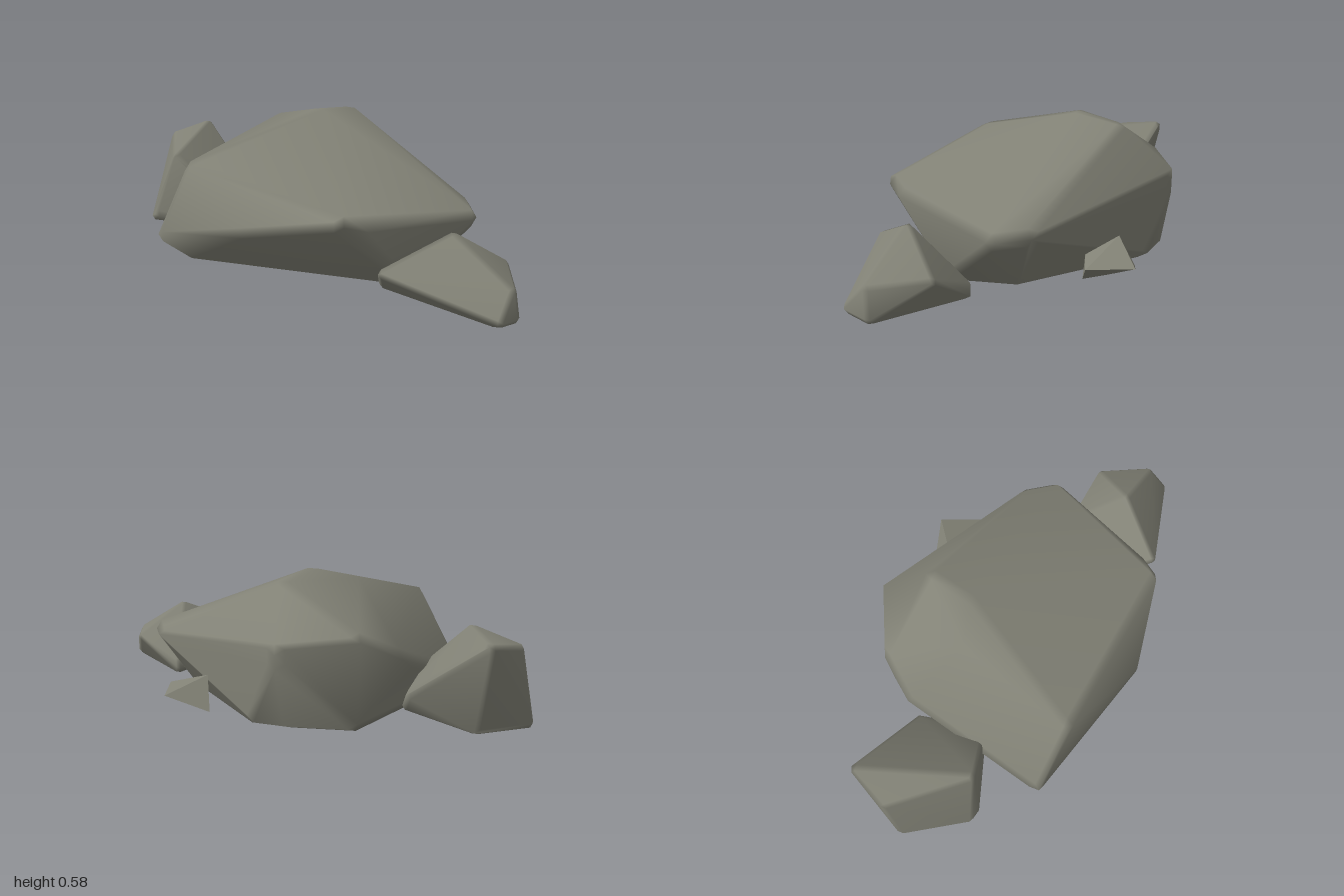
import * as THREE from 'three';
import { mergeVertices } from 'three/addons/utils/BufferGeometryUtils.js';
import { ConvexGeometry } from 'three/addons/geometries/ConvexGeometry.js';

const stone = new THREE.MeshStandardMaterial({ color: 0x828276, side: THREE.DoubleSide });
stone.name = 'greyStone';

// Corner offsets of a small icosahedron, used to round off every corner
const PHI = (1 + Math.sqrt(5)) / 2;
const BALL = [];
for (const a of [-1, 1]) for (const b of [-PHI, PHI]) {
  for (const c of [[0, a, b], [a, b, 0], [b, 0, a]]) BALL.push(new THREE.Vector3(...c).normalize());
}

// Drops the flat underside so the shell is open at the ground
function openBottom(geometry) {
  const p = geometry.attributes.position;
  const kept = [];
  for (let i = 0; i < p.count; i += 3) {
    if (Math.max(p.getY(i), p.getY(i + 1), p.getY(i + 2)) < 0.004) continue;
    for (let j = i; j < i + 3; j++) kept.push(p.getX(j), p.getY(j), p.getZ(j));
  }
  const out = new THREE.BufferGeometry();
  out.setAttribute('position', new THREE.Float32BufferAttribute(kept, 3));
  return out;
}

// Convex boulder from its corners, with soft edges of the given radius
function boulder(name, corners, radius) {
  const points = corners.map((c) => new THREE.Vector3(...c));
  const middle = new THREE.Vector3();
  points.forEach((p) => middle.addScaledVector(p, 1 / points.length));
  const cloud = [];
  for (const p of points) {
    const inner = p.clone().addScaledVector(middle.clone().sub(p).normalize(), radius);
    inner.y = Math.max(inner.y, radius * 0.85);
    for (const b of BALL) {
      const q = inner.clone().addScaledVector(b, radius);
      if (q.y < 0.002) q.y = 0;
      cloud.push(q);
    }
  }
  const geometry = mergeVertices(openBottom(new ConvexGeometry(cloud)), 1e-4);
  geometry.computeVertexNormals();
  const mesh = new THREE.Mesh(geometry, stone);
  mesh.name = name;
  return mesh;
}

export function createModel() {
  const group = new THREE.Group();
  group.name = 'rockCluster';

  // Large central rock
  group.add(boulder('mainRock', [
    // crown
    [-0.28, 0.54, -0.12], [-0.1, 0.58, -0.16], [-0.04, 0.545, -0.37],
    // shoulders
    [-0.415, 0.4, 0.4], [0.38, 0.335, 0.515], [-0.02, 0.25, 0.575], [0.45, 0.305, 0.44],
    [0.695, 0.24, -0.05], [0.62, 0.245, -0.17],
    // back
    [-0.1, 0.345, -0.575], [-0.1, 0.28, -0.575], [-0.38, 0.365, -0.44],
    [-0.51, 0.27, -0.28], [-0.53, 0.2, -0.15],
    // base
    [-0.62, 0.04, 0.355], [-0.41, 0, 0.42], [0.53, 0, 0.2], [0.5, 0, -0.08],
    [0.03, 0, -0.5], [-0.12, 0.03, -0.53], [-0.37, 0, -0.44],
  ], 0.042));

  // Upright rock on the model's right
  group.add(boulder('rightRock', [
    [-0.865, 0.37, -0.365], [-0.95, 0.34, -0.2], [-0.71, 0.335, 0.1],
    [-0.52, 0.11, -0.25], [-0.53, 0.17, 0.06],
    [-1.0, 0, -0.14], [-0.81, 0, -0.3], [-0.84, 0, 0.13], [-0.8, 0.04, 0.145],
    [-0.5, 0, 0.05], [-0.47, 0, -0.1],
  ], 0.025));

  // Low pointed rock on the model's left, overhanging its narrow base
  group.add(boulder('leftRock', [
    [0.72, 0.295, 0.26], [0.52, 0.165, 0.475], [0.47, 0.07, 0.36], [0.65, 0.05, 0.045],
    [0.88, 0.15, 0.09], [0.99, 0.135, 0.31], [1.005, 0.02, 0.3], [0.98, 0.04, 0.4],
    [0.98, 0, 0.29], [0.95, 0, 0.36], [0.65, 0, 0.18], [0.65, 0, 0.045],
  ], 0.022));

  // Small sharp pebble behind
  const pebble = new THREE.Mesh(new ConvexGeometry([
    [0.255, 0.165, -0.43], [0.22, 0.03, -0.49], [0.4, 0.09, -0.53], [0.47, 0.09, -0.35],
    [0.36, 0.11, -0.32], [0.29, 0.005, -0.39], [0.36, 0.005, -0.31],
  ].map((c) => new THREE.Vector3(...c))), stone);
  pebble.name = 'pebble';
  group.add(pebble);

  return group;
}
